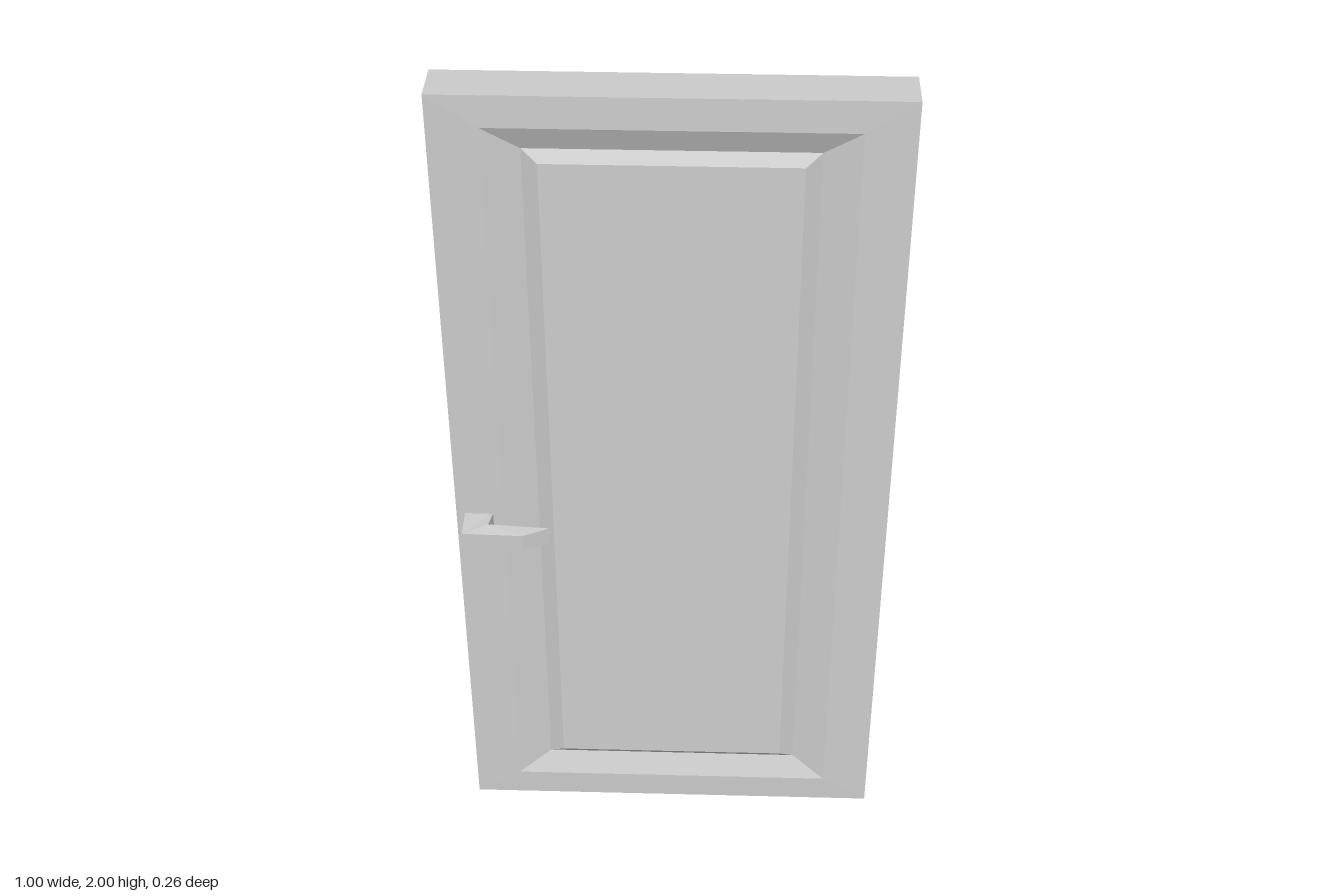
import * as THREE from 'three';

const HEIGHT = 2;
const HANDLE_Y = 0.9;

// One face of the slab: nested rectangles stepping in from the edge to the raised panel.
function panelHalf() {
  // [half width, inset from top and bottom, z]
  const rings = [
    [0.5, 0, 0],
    [0.5, 0, 0.055],
    [0.39, 0.072, 0.057],
    [0.31, 0.13, 0.032],
    [0.275, 0.155, 0.052],
  ];
  const positions = [];
  const index = [];
  for (const [w, inset, z] of rings) {
    const lo = inset;
    const hi = HEIGHT - inset;
    positions.push(-w, lo, z, w, lo, z, w, hi, z, -w, hi, z);
  }
  for (let r = 0; r < rings.length - 1; r++) {
    for (let i = 0; i < 4; i++) {
      const a = r * 4 + i;
      const b = r * 4 + ((i + 1) % 4);
      index.push(a, b, b + 4, a, b + 4, a + 4);
    }
  }
  const c = (rings.length - 1) * 4;
  index.push(c, c + 1, c + 2, c, c + 2, c + 3);

  const geometry = new THREE.BufferGeometry();
  geometry.setAttribute('position', new THREE.Float32BufferAttribute(positions, 3));
  geometry.setIndex(index);
  const flat = geometry.toNonIndexed();
  flat.computeVertexNormals();
  return flat;
}

// L-shaped lever outlined in plan, slimmer towards its outer face.
function leverGeometry() {
  const outline = [
    [-0.48, 0.045], [-0.412, 0.045], [-0.422, 0.096],
    [-0.28, 0.1], [-0.34, 0.13], [-0.48, 0.126],
  ];
  const shape = new THREE.Shape(outline.map(([x, z]) => new THREE.Vector2(x, z)));
  const geometry = new THREE.ExtrudeGeometry(shape, { depth: 1, bevelEnabled: false });
  geometry.translate(0, 0, -0.5);
  geometry.rotateX(Math.PI / 2);
  const p = geometry.attributes.position;
  for (let i = 0; i < p.count; i++) {
    const half = p.getZ(i) < 0.098 ? 0.026 : 0.021;
    p.setY(i, Math.sign(p.getY(i)) * half);
  }
  geometry.computeVertexNormals();
  return geometry;
}

export function createModel() {
  const model = new THREE.Group();
  model.name = 'door';
  const material = new THREE.MeshStandardMaterial({ color: 0xcccccc, flatShading: true });

  // Panelled slab, the same on both sides
  const half = panelHalf();
  const front = new THREE.Mesh(half, material);
  front.name = 'frontPanel';
  const back = new THREE.Mesh(half, material);
  back.name = 'backPanel';
  back.rotation.y = Math.PI;
  model.add(front, back);

  // Lever handles on both sides, both at the same edge
  const lever = leverGeometry();
  for (const [name, turn] of [['frontHandle', 0], ['backHandle', Math.PI]]) {
    const handle = new THREE.Mesh(lever, material);
    handle.name = name;
    handle.position.y = HANDLE_Y;
    handle.rotation.x = turn;
    model.add(handle);
  }
  return model;
}
